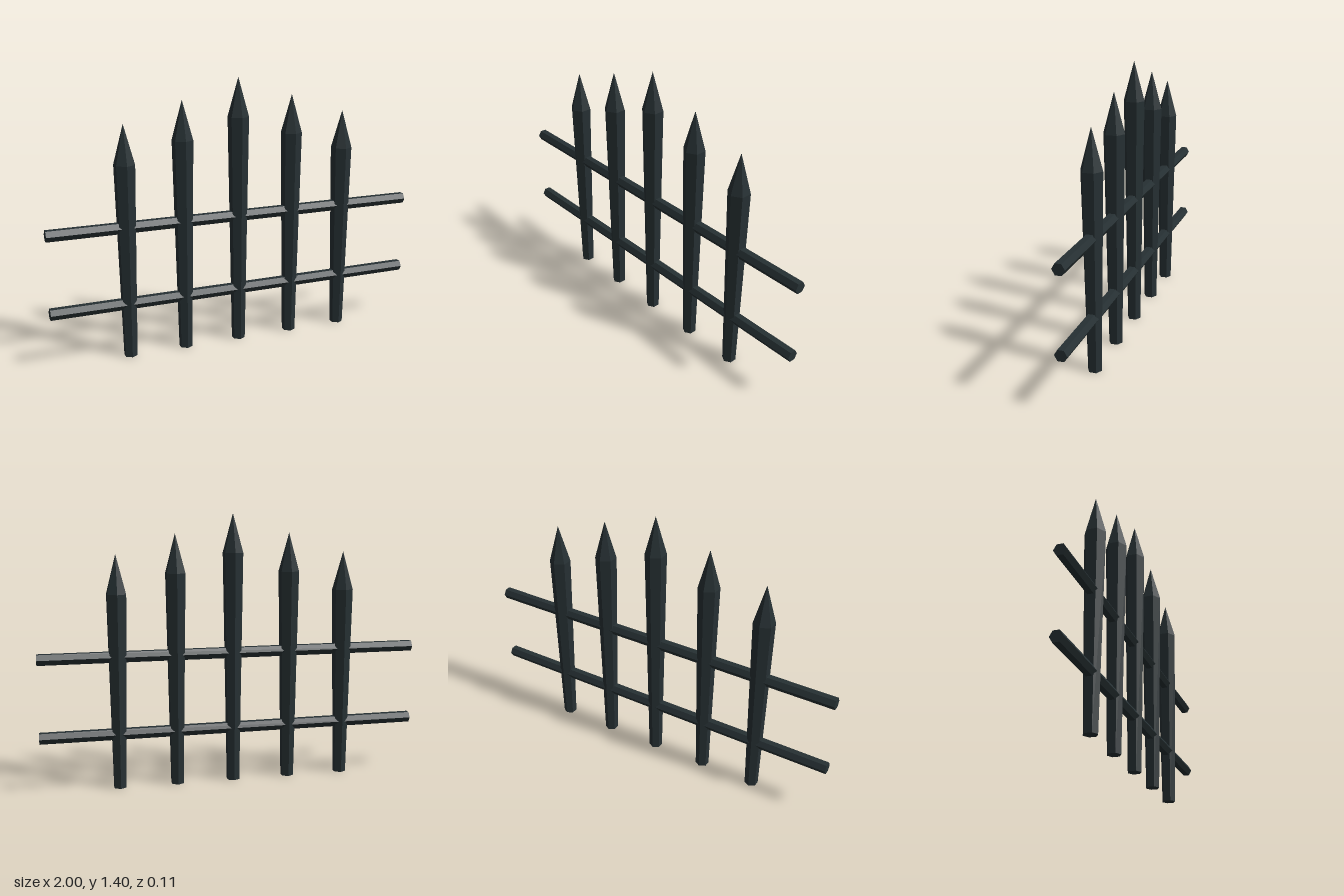
import * as THREE from 'three';

const SIDES = 6;
const TIP = 0.2;

export function createModel() {
  const fence = new THREE.Group();
  fence.name = 'picketFence';
  const iron = new THREE.MeshStandardMaterial({ color: 0x263033, flatShading: true });

  const add = (parent, name, geometry, y) => {
    const mesh = new THREE.Mesh(geometry, iron);
    mesh.name = name;
    mesh.position.y = y;
    parent.add(mesh);
  };

  // Five tapered hexagonal pickets with pointed tips, tallest in the middle
  for (let i = -2; i <= 2; i++) {
    const height = 1.2 - 0.1 * Math.abs(i);
    const picket = new THREE.Group();
    picket.name = 'picket';
    picket.position.x = i * 0.3;
    add(picket, 'shaft', new THREE.CylinderGeometry(0.055, 0.035, height, SIDES), height / 2);
    add(picket, 'tip', new THREE.ConeGeometry(0.055, TIP, SIDES), height + TIP / 2);
    fence.add(picket);
  }

  // Two hexagonal cross rails running through the pickets
  const rail = new THREE.CylinderGeometry(0.031, 0.031, 2, SIDES).rotateZ(Math.PI / 2);
  add(fence, 'lowerRail', rail, 0.283);
  add(fence, 'upperRail', rail, 0.683);

  return fence;
}
